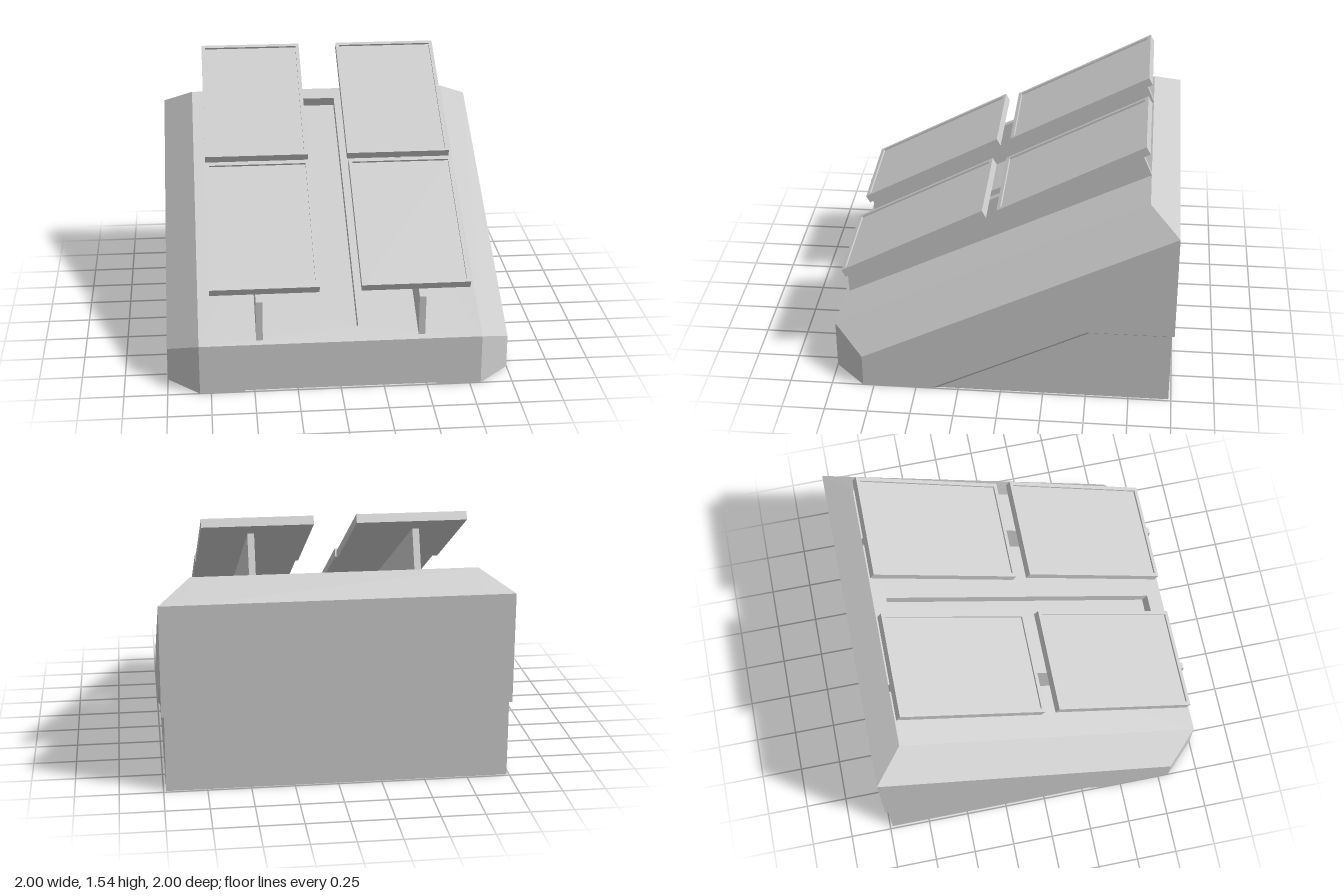
import * as THREE from 'three';

const material = new THREE.MeshStandardMaterial({ color: 0xcccccc, flatShading: true });
const EDGE = 0.815; // half width of the deck
const INSET = 0.985; // half width of the base
const NOTCH = 0.98; // z of the recessed front

function add(parent, name, geometry) {
  const mesh = new THREE.Mesh(geometry, material);
  mesh.name = name;
  parent.add(mesh);
  return mesh;
}

const outline = (points) => points.map((p) => new THREE.Vector2(...p));

function rectangle(Type, w, h, cy = 0) {
  return new Type(outline([[-1, -1], [1, -1], [1, 1], [-1, 1]].map(([x, y]) => [x * w / 2, cy + y * h / 2])));
}

// Joins [x, profile] sections, each profile a list of (z, y); closed ones get end caps.
function loft(sections, closed = true, skip = () => false) {
  const out = [];
  const rings = sections.map(([x, profile]) => profile.map(([z, y]) => [x, y, z]));
  const tri = (...corners) => corners.forEach((p) => out.push(...p));
  const n = rings[0].length;
  for (let i = 0; i < rings.length - 1; i++) {
    for (let j = 0; j < (closed ? n : n - 1); j++) {
      if (skip(i, j)) continue;
      const k = (j + 1) % n;
      const [a, b, c, d] = [rings[i][j], rings[i + 1][j], rings[i + 1][k], rings[i][k]];
      tri(a, b, c);
      tri(a, c, d);
    }
  }
  if (closed) {
    const first = rings[0], last = rings[rings.length - 1];
    for (let j = 1; j < n - 1; j++) {
      tri(first[0], first[j], first[j + 1]);
      tri(last[0], last[j + 1], last[j]);
    }
  }
  const g = new THREE.BufferGeometry();
  g.setAttribute('position', new THREE.Float32BufferAttribute(out, 3));
  g.computeVertexNormals();
  return g;
}

// Wedge-shaped upper shell, narrower at its sides, with the deck span left open
function shell() {
  const full = [[-0.5, 0.455], [0.41, 0], [1, 0], [1, 0.3], [-0.83, 1.215], [-1, 1.105], [-1, 0.455]];
  const end = [[-0.5, 0.455], [0.41, 0], [0.815, 0], [0.815, 0.2], [-1, 1.105], [-1, 1.105], [-1, 0.455]];
  const middle = full.map(([z, y]) => [Math.min(z, NOTCH), y]);
  return loft([[-1, end], [-EDGE, full], [-EDGE, middle], [EDGE, middle], [EDGE, full], [1, end]],
    true, (span, edge) => span === 2 && edge === 3);
}

// Inset base below the shell
function base() {
  const profile = [[0.41, 0], [-0.5, 0.455], [-INSET, 0.455], [-INSET, 0]];
  return loft([[-INSET, profile], [INSET, profile]]);
}

// Bevelled lip between shell and base
function lip() {
  const outer = [[-1, 0.455], [-0.5, 0.455], [0.41, 0]];
  const inner = [[-INSET, 0.443], [-0.516, 0.443], [0.37, 0]];
  return loft([[-1, outer], [-INSET, inner], [INSET, inner], [1, outer]], false);
}

// Front plate with a wide notch at the bottom
function frontPlate() {
  const half = [[0.5, 0.115], [0.56, 0], [EDGE, 0], [EDGE, 0.3]];
  const mirrored = half.map(([x, y]) => [-x, y]).reverse();
  return new THREE.ExtrudeGeometry(new THREE.Shape(outline([...half, ...mirrored])),
    { depth: 1 - NOTCH, bevelEnabled: false }).translate(0, 0, NOTCH);
}

// Sloped deck with a sunken slot, drawn flat and tilted into place
function deck() {
  const g = new THREE.Group();
  const k = Math.hypot(1, 0.5); // length along the slope per unit of z
  const slot = [0.21, 1.655 * k, -0.0775 * k], depth = 0.065;
  const shape = rectangle(THREE.Shape, 2 * EDGE, 1.83 * k, -0.085 * k);
  shape.holes.push(rectangle(THREE.Path, ...slot));
  add(g, 'deckSurface', new THREE.ShapeGeometry(shape));
  // a box turned inside out, so its inner walls show
  const tray = new THREE.BoxGeometry(slot[0], slot[1], depth).scale(-1, 1, 1).toNonIndexed();
  tray.translate(0, slot[2], -depth / 2).computeVertexNormals();
  add(g, 'deckSlot', tray);
  g.position.y = 0.8;
  g.rotation.x = Math.atan(0.5) - Math.PI / 2;
  return g;
}

// Framed panel with a slightly recessed face
function panel() {
  const w = 0.625, h = 0.947, t = 0.05, rim = 0.022, recess = 0.012;
  const g = new THREE.Group();
  const shape = rectangle(THREE.Shape, w, h);
  shape.holes.push(rectangle(THREE.Path, w - 2 * rim, h - 2 * rim));
  add(g, 'panelFrame', new THREE.ExtrudeGeometry(shape, { depth: t, bevelEnabled: false }).translate(0, 0, -t / 2));
  add(g, 'panelFace', new THREE.BoxGeometry(w - 2 * rim, h - 2 * rim, t - recess).translate(0, 0, -recess / 2));
  g.rotation.x = 0.494 - Math.PI / 2;
  return g;
}

// Long support fin running under two panels
function fin() {
  const profile = [[0.97, 0.29], [0.985, 0.56], [-0.74, 1.43], [-0.83, 1.215], [-0.83, 1.19]];
  return loft([[-0.019, profile], [0.019, profile]]);
}

export function createModel() {
  const model = new THREE.Group();
  model.name = 'slopedPanelStation';
  add(model, 'shell', shell());
  add(model, 'base', base());
  add(model, 'lip', lip());
  add(model, 'frontPlate', frontPlate());
  const top = deck();
  top.name = 'deck';
  model.add(top);
  for (const [side, s] of [['left', 1], ['right', -1]]) {
    add(model, side + 'SupportFin', fin()).position.x = s * 0.467;
    for (const [row, y, z] of [['Lower', 0.834, 0.53], ['Upper', 1.29, -0.387]]) {
      const p = panel();
      p.name = side + row + 'Panel';
      p.position.set(s * 0.4325, y, z);
      model.add(p);
    }
  }
  return model;
}
